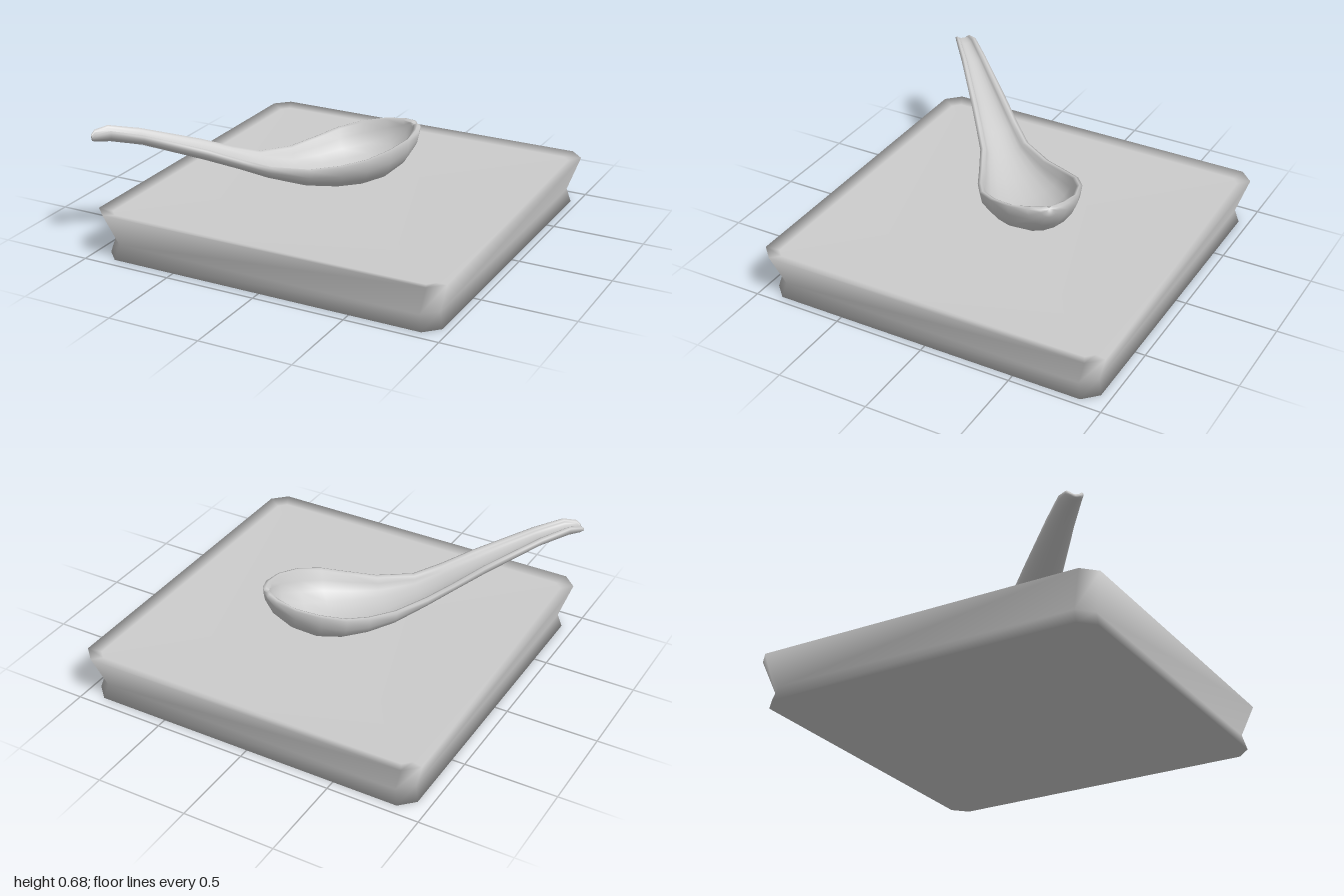
import * as THREE from 'three';

// Skin a list of closed rings (arrays of Vector3) and close both ends with fans.
function loft(rings) {
  const n = rings[0].length;
  const pos = [];
  const index = [];
  rings.forEach((ring) => ring.forEach((p) => pos.push(p.x, p.y, p.z)));
  for (let i = 0; i < rings.length - 1; i++) {
    for (let j = 0; j < n; j++) {
      const k = (j + 1) % n;
      const a = i * n + j, b = i * n + k, c = a + n, d = b + n;
      index.push(a, c, b, b, c, d);
    }
  }
  [0, rings.length - 1].forEach((i) => {
    const mid = new THREE.Vector3();
    rings[i].forEach((p) => mid.addScaledVector(p, 1 / n));
    const m = pos.length / 3;
    pos.push(mid.x, mid.y, mid.z);
    for (let j = 0; j < n; j++) {
      const a = i * n + j, b = i * n + ((j + 1) % n);
      if (i === 0) index.push(m, a, b);
      else index.push(m, b, a);
    }
  });
  const geometry = new THREE.BufferGeometry();
  geometry.setAttribute('position', new THREE.Float32BufferAttribute(pos, 3));
  geometry.setIndex(index);
  geometry.computeVertexNormals();
  return geometry;
}

// Square outline with cut corners, at height y.
function squareRing(half, cut, y) {
  const h = half, c = half - cut;
  return [[h, -c], [h, c], [c, h], [-c, h], [-h, c], [-h, -c], [-c, -h], [c, -h]]
    .map(([x, z]) => new THREE.Vector3(x, y, z));
}

// Spoon stations: position along the spoon, half width, rim height, keel height.
const STATIONS = [
  [-1.335, 0.03, 0.640, 0.622],
  [-1.315, 0.046, 0.660, 0.617],
  [-1.245, 0.058, 0.674, 0.612],
  [-1.08, 0.072, 0.636, 0.575],
  [-0.757, 0.102, 0.530, 0.455],
  [-0.58, 0.12, 0.460, 0.385],
  [-0.43, 0.138, 0.410, 0.320],
  [-0.24, 0.197, 0.395, 0.260],
  [-0.08, 0.247, 0.416, 0.238],
  [0.05, 0.272, 0.444, 0.238],
  [0.18, 0.252, 0.475, 0.256],
  [0.30, 0.192, 0.500, 0.315],
  [0.385, 0.11, 0.517, 0.400],
  [0.417, 0.05, 0.522, 0.470],
  [0.421, 0.02, 0.522, 0.495],
];

// Hollow cross-section: outer bowl curve, rounded rim, inner curve back again.
function spoonRing([u, w, rim, keel]) {
  const steps = 10;
  const t = Math.min(0.032, w * 0.4);
  const depth = rim - keel;
  const innerDepth = Math.max(depth - 0.035, 0.004);
  const innerU = u > 0.3 ? 0.3 + (u - 0.3) * 0.75 : u;
  const ring = [];
  // The spoon lies along the plate's diagonal.
  const add = (s, v, y) => ring.push(
    new THREE.Vector3((s + v - 0.053) * Math.SQRT1_2, y, (v - 0.053 - s) * Math.SQRT1_2));
  const curve = (s, half, d, dir) => {
    for (let i = 0; i <= steps; i++) {
      const a = dir * (i / steps - 0.5) * Math.PI;
      add(s, half * Math.sin(a), rim - d * Math.cos(a));
    }
  };
  curve(u, w, depth, 1);
  add((u + innerU) / 2, w - t / 2, rim + 0.006);
  curve(innerU, w - t, innerDepth, -1);
  add((u + innerU) / 2, -w + t / 2, rim + 0.006);
  return ring;
}

export function createModel() {
  const group = new THREE.Group();
  const material = new THREE.MeshStandardMaterial({ color: 0xcccccc });

  // Square plate with a pinched waist and a slightly sunken top
  const plate = new THREE.Mesh(loft([
    squareRing(0.945, 0.075, 0),
    squareRing(0.925, 0.075, 0.08),
    squareRing(0.98, 0.075, 0.255),
    squareRing(0.915, 0.04, 0.238),
  ]), material);
  plate.name = 'plate';
  plate.position.x = 0.015;
  group.add(plate);

  // Deep soup spoon resting on the plate
  const spoon = new THREE.Mesh(loft(STATIONS.map(spoonRing)), material);
  spoon.name = 'spoon';
  group.add(spoon);

  return group;
}
